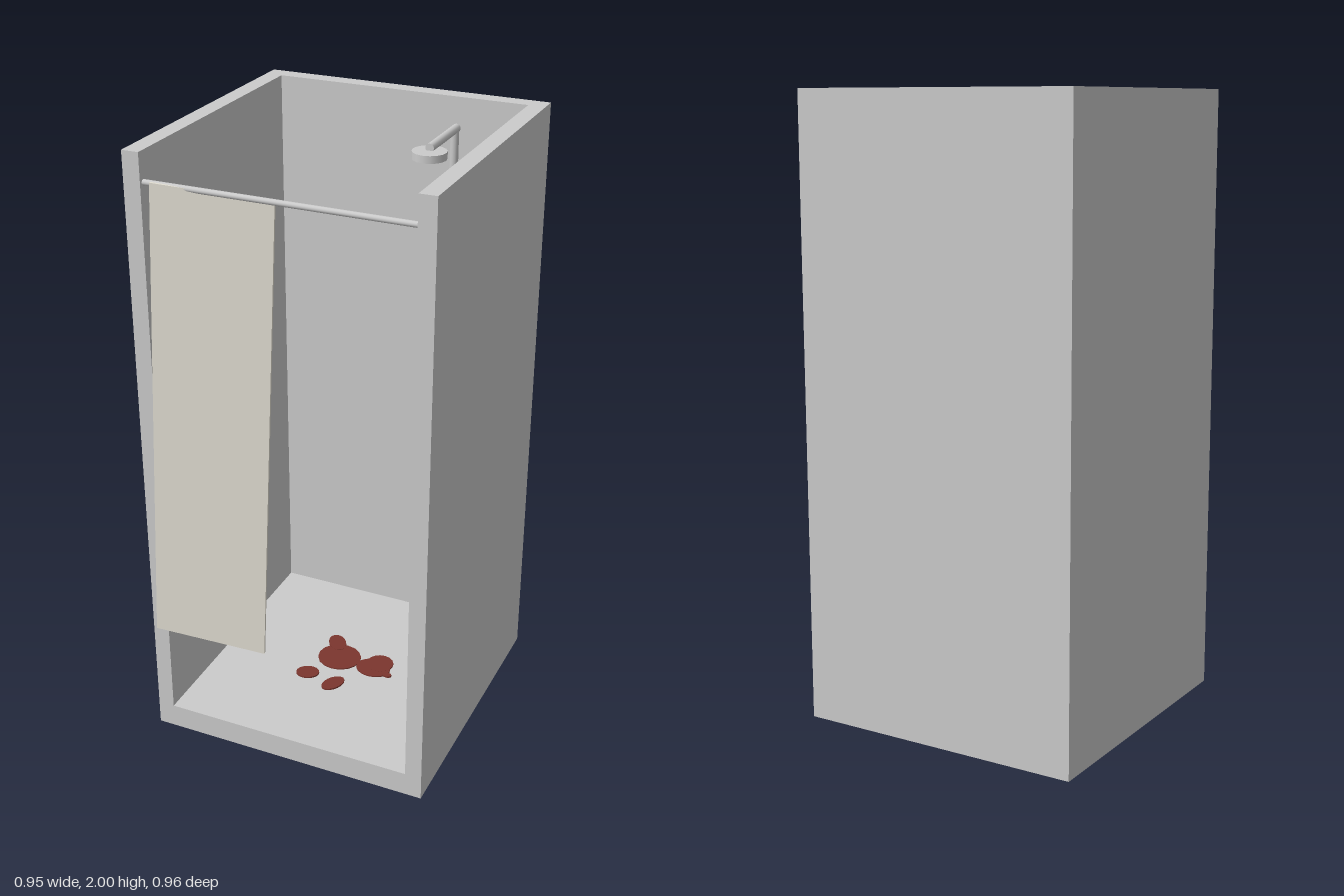
import * as THREE from 'three';

const material = (color) => new THREE.MeshStandardMaterial({ color });

export function createModel() {
  const model = new THREE.Group();
  model.name = 'showerStall';
  const grey = material(0xcccccc);
  const red = material(0x7c362e);
  const cloth = material(0xe4e0d4);

  const add = (name, geometry, mat, x = 0, y = 0, z = 0) => {
    const mesh = new THREE.Mesh(geometry, mat);
    mesh.name = name;
    mesh.position.set(x, y, z);
    model.add(mesh);
    return mesh;
  };

  // Side walls and floor as one U-shaped profile
  const profile = new THREE.Shape([
    [-0.475, 0], [0.475, 0], [0.475, 2], [0.42, 2],
    [0.42, 0.08], [-0.42, 0.08], [-0.42, 2], [-0.475, 2],
  ].map(([x, y]) => new THREE.Vector2(x, y)));
  add('sideWallsAndFloor',
    new THREE.ExtrudeGeometry(profile, { depth: 0.95, bevelEnabled: false }), grey, 0, 0, -0.48);

  // Back wall between the sides
  add('backWall', new THREE.BoxGeometry(0.84, 1.92, 0.055), grey, 0, 1.04, -0.4525);

  // Curtain rod across the opening
  add('curtainRod', new THREE.CylinderGeometry(0.009, 0.009, 0.84, 12), grey, 0, 1.908, 0.452)
    .rotation.z = Math.PI / 2;

  // Curtain, hanging askew
  const curtain = add('curtain', new THREE.BoxGeometry(0.376, 1.527, 0.008), cloth, -0.238, 1.145, 0.452);
  curtain.rotation.set(0, 0.102, -0.046, 'YXZ');

  // Water pipe up the back wall, arm and shower head
  add('waterPipe', new THREE.CylinderGeometry(0.014, 0.014, 0.95, 12), grey, 0.19, 1.428, -0.411);
  add('showerArm', new THREE.CylinderGeometry(0.014, 0.014, 0.228, 12), grey, 0.19, 1.9, -0.311)
    .rotation.x = Math.PI / 2;
  add('showerHead', new THREE.CylinderGeometry(0.055, 0.055, 0.024, 16), grey, 0.19, 1.88, -0.197);

  // Flat spots on the floor: x, z, radius x, radius z, turn
  const spots = [
    [-0.025, -0.007, 0.076, 0.071, 0],
    [0.108, 0.003, 0.061, 0.049, 0],
    [0.12, -0.028, 0.047, 0.047, 0],
    [-0.066, -0.08, 0.046, 0.03, -0.95],
    [-0.089, 0.119, 0.04, 0.032, 0.35],
    [0.017, 0.141, 0.045, 0.028, 1.1],
    [0.168, 0.023, 0.016, 0.011, 0],
  ];
  spots.forEach(([x, z, rx, rz, turn], i) => {
    const spot = add('floorSpot' + (i + 1),
      new THREE.CylinderGeometry(1, 1, 0.008, 16), red, x, 0.08 + i * 0.0003, z);
    spot.scale.set(rx, 1, rz);
    spot.rotation.y = turn;
  });

  return model;
}
